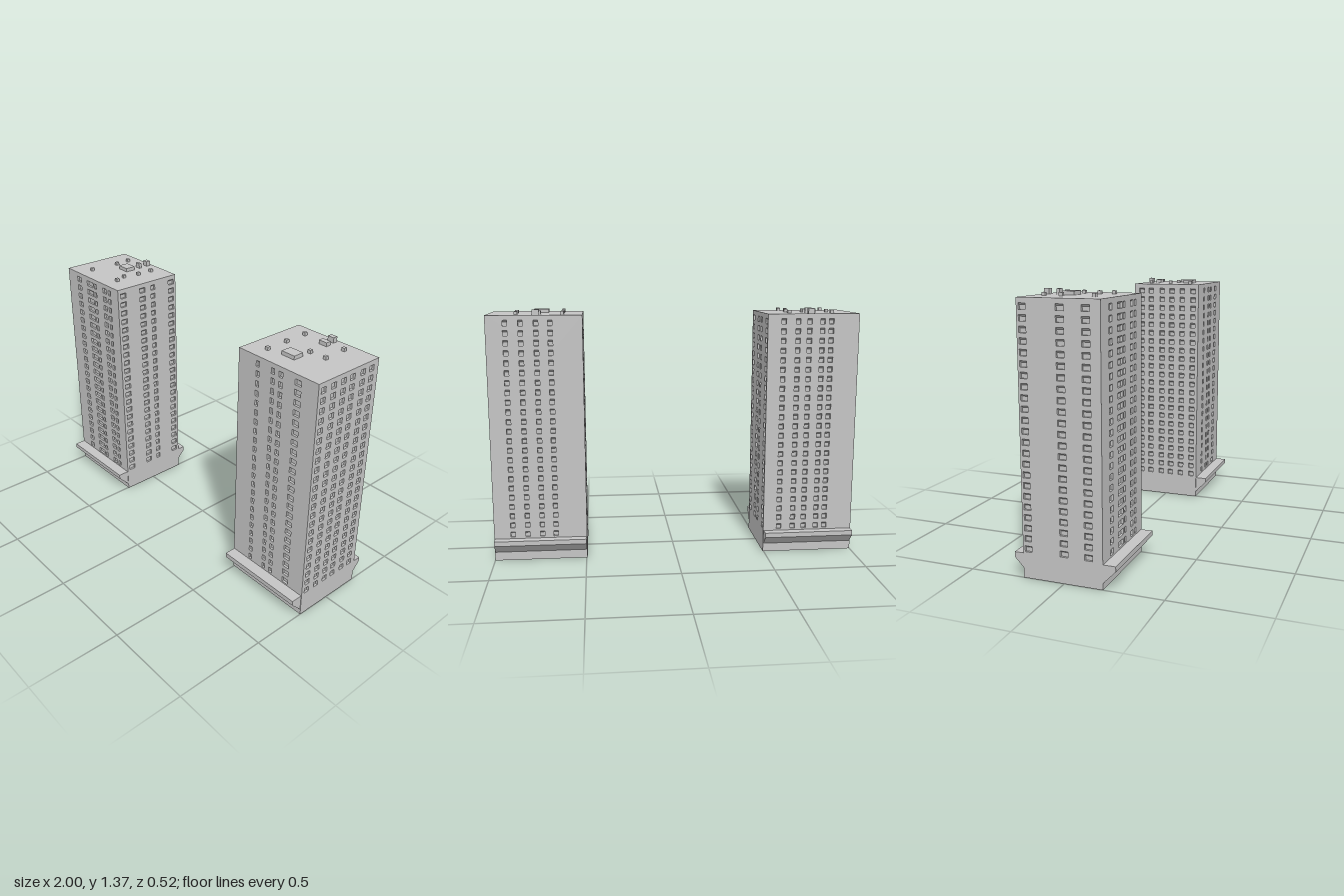
import * as THREE from 'three';
import { mergeGeometries } from 'three/addons/utils/BufferGeometryUtils.js';

const concrete = new THREE.MeshStandardMaterial({ color: 0xc4c4c4 });
concrete.name = 'concrete grey';

const W = 0.505, D = 0.413, H = 1.338, CZ = -0.0075;
const ROWS = 23, FIRST_SILL = 0.132, ROW_STEP = 0.0523;
const WIN_H = 0.03, WIN_DEPTH = 0.012, LINTEL = 0.009;

function part(name, geometry) {
  const mesh = new THREE.Mesh(geometry, concrete);
  mesh.name = name;
  return mesh;
}

// Recess behind one window opening: jambs, sill, pane and sloped lintel
function recessGeometry(width) {
  const a = width / 2, z = -WIN_DEPTH, t = WIN_H - LINTEL;
  const F = [[-a, 0, 0], [a, 0, 0], [a, WIN_H, 0], [-a, WIN_H, 0]];
  const B = [[-a, 0, z], [a, 0, z], [a, t, z], [-a, t, z]];
  const quads = [
    [B[0], B[1], B[2], B[3]],
    [F[0], B[0], B[3], F[3]],
    [B[1], F[1], F[2], B[2]],
    [F[0], F[1], B[1], B[0]],
    [B[3], B[2], F[2], F[3]],
  ];
  const pos = quads.flatMap(([p, q, r, s]) => [p, q, r, p, r, s].flat());
  const g = new THREE.BufferGeometry();
  g.setAttribute('position', new THREE.Float32BufferAttribute(pos, 3));
  g.computeVertexNormals();
  return g;
}

// Wall pierced by a grid of windows; columns are [offset along wall, width]
function makeWall(name, length, columns) {
  const a = length / 2;
  const shape = new THREE.Shape([[-a, 0], [a, 0], [a, H], [-a, H]].map(p => new THREE.Vector2(...p)));
  const recesses = [];
  for (const [u, w] of columns) {
    const recess = recessGeometry(w);
    for (let i = 0; i < ROWS; i++) {
      const y = FIRST_SILL + i * ROW_STEP, l = u - w / 2, r = u + w / 2;
      shape.holes.push(new THREE.Path(
        [[l, y], [l, y + WIN_H], [r, y + WIN_H], [r, y]].map(p => new THREE.Vector2(...p))));
      recesses.push(recess.clone().translate(u, y, 0));
    }
  }
  const wall = new THREE.Group();
  wall.name = name;
  wall.add(part('facade', new THREE.ShapeGeometry(shape)));
  wall.add(part('windows', mergeGeometries(recesses)));
  return wall;
}

// Canopy with a sloped underside; side is 1 for the front, -1 for the back
function canopyGeometry(side) {
  const profile = [[0.195, 0.028], [0.262, 0.097], [0.262, 0.123], [0.195, 0.123]];
  const shape = new THREE.Shape(profile.map(([z, y]) => new THREE.Vector2(z * side, y)));
  const depth = W - 0.006;
  return new THREE.ExtrudeGeometry(shape, { depth, bevelEnabled: false })
    .translate(0, 0, -depth / 2).rotateY(-Math.PI / 2);
}

function makeTower(name, cx, spec) {
  const tower = new THREE.Group();
  tower.name = name;

  // Four walls, columns given in world x or z
  const walls = [
    ['frontWall', W, 0, [0, 0, CZ + D / 2], spec.front, v => v - cx],
    ['leftWall', D, Math.PI / 2, [W / 2, 0, CZ], spec.left, v => CZ - v],
    ['backWall', W, Math.PI, [0, 0, CZ - D / 2], spec.back, v => cx - v],
    ['rightWall', D, -Math.PI / 2, [-W / 2, 0, CZ], spec.right, v => v - CZ],
  ];
  for (const [wallName, length, turn, place, columns, toWall] of walls) {
    const wall = makeWall(wallName, length, columns.map(([v, w]) => [toWall(v), w]));
    wall.rotation.y = turn;
    wall.position.set(...place);
    tower.add(wall);
  }

  // Roof and underside
  tower.add(part('roof', new THREE.PlaneGeometry(W, D).rotateX(-Math.PI / 2).translate(0, H, CZ)));
  tower.add(part('underside', new THREE.PlaneGeometry(W, D).rotateX(Math.PI / 2).translate(0, 0, CZ)));

  tower.add(part('frontCanopy', canopyGeometry(1)), part('backCanopy', canopyGeometry(-1)));

  // Rooftop housings: x range, z range, height
  for (const [x0, x1, z0, z1, h] of spec.housings) {
    const box = part('roofHousing', new THREE.BoxGeometry(x1 - x0, h, z1 - z0));
    box.position.set((x0 + x1) / 2 - cx, H + h / 2, (z0 + z1) / 2);
    tower.add(box);
  }
  // Small roof vents
  for (const [x, z] of spec.vents) {
    const vent = part('roofVent', new THREE.BoxGeometry(0.018, 0.017, 0.018));
    vent.position.set(x - cx, H + 0.0085, z);
    tower.add(vent);
  }
  tower.position.x = cx;
  return tower;
}

export function createModel() {
  const model = new THREE.Group();
  model.name = 'twinTowers';

  const sixColumns = [0.165, 0.096, 0.029, -0.033, -0.105, -0.167].map(z => [z, 0.031]);

  model.add(makeTower('leftTower', 0.7475, {
    front: [[0.623, 0.02], [0.722, 0.02], [0.773, 0.024], [0.88, 0.038]],
    back: [0.898, 0.818, 0.738, 0.664].map(x => [x, 0.024]),
    left: sixColumns,
    right: sixColumns,
    housings: [
      [0.682, 0.762, 0.045, 0.104, 0.02],
      [0.72, 0.757, -0.2, -0.174, 0.028],
      [0.714, 0.762, -0.147, -0.118, 0.02],
    ],
    vents: [[0.602, -0.142], [0.602, -0.013], [0.602, 0.115], [0.845, -0.147], [0.85, -0.013], [0.757, -0.01]],
  }));

  model.add(makeTower('rightTower', -0.7475, {
    front: [[-0.888, 0.037], [-0.775, 0.06], [-0.722, 0.02], [-0.628, 0.034], [-0.58, 0.022]],
    back: [-0.583, -0.662, -0.725, -0.796, -0.845].map(x => [x, 0.026]),
    left: [[0.162, 0.038], [0.028, 0.038], [-0.047, 0.028], [-0.18, 0.038]],
    right: [[-0.185, 0.036], [0.002, 0.04], [0.128, 0.04]],
    housings: [
      [-0.79, -0.716, -0.083, -0.024, 0.02],
      [-0.751, -0.719, -0.2, -0.174, 0.028],
      [-0.751, -0.717, -0.134, -0.118, 0.028],
    ],
    vents: [[-0.864, -0.142], [-0.858, -0.056], [-0.869, 0.115], [-0.628, -0.136],
      [-0.628, -0.045], [-0.647, 0.045], [-0.623, 0.11]],
  }));

  return model;
}
